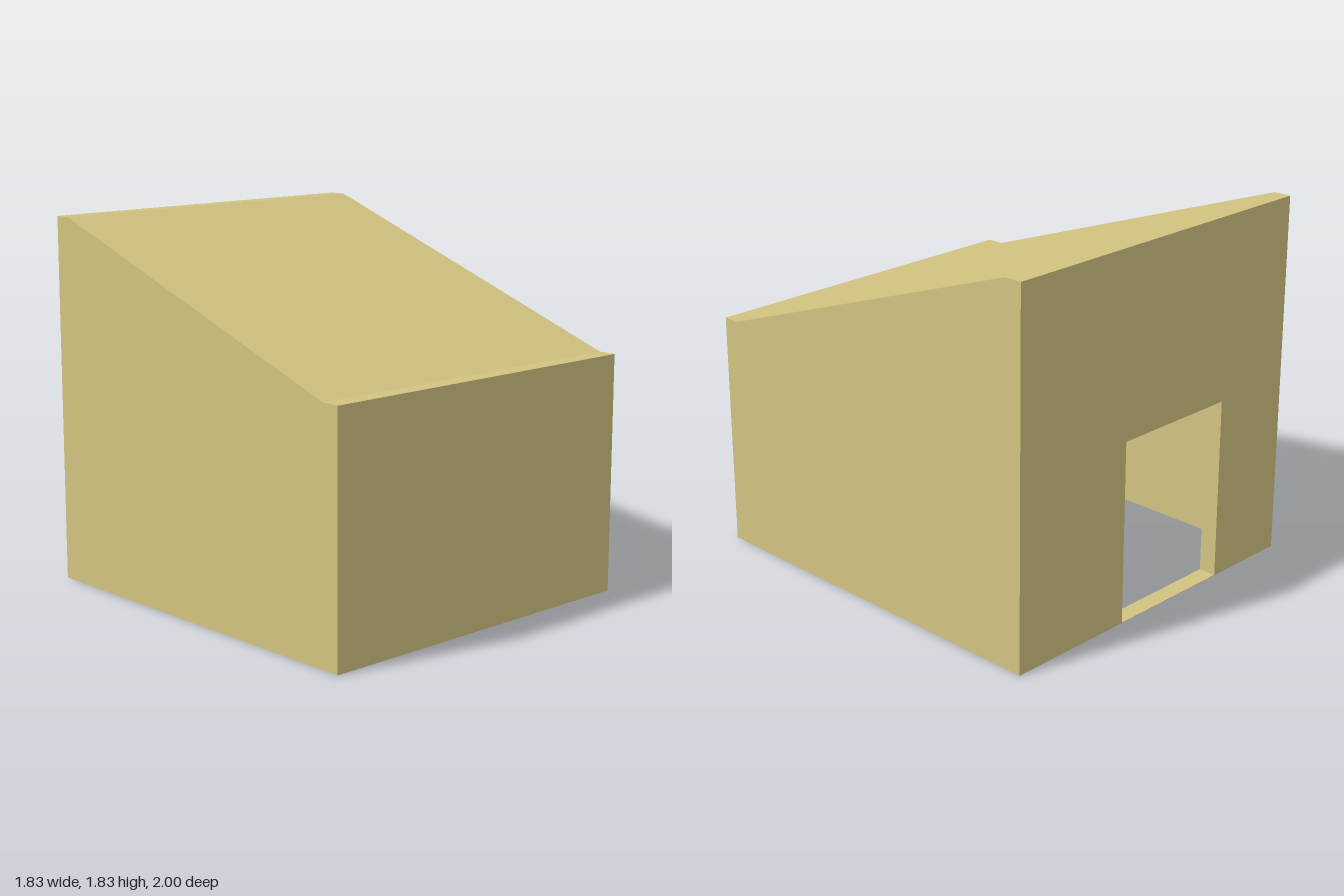
import * as THREE from 'three';

const W = 0.913;          // half width
const D = 1;              // half depth
const T = 0.09;           // wall thickness
const LOW = 1.187;        // front wall height
const HIGH = 1.83;        // back wall height
const DOOR = { x0: -0.457, x1: 0.228, h: 0.915 };

export function createModel() {
  const group = new THREE.Group();
  const material = new THREE.MeshStandardMaterial({ color: 0xd2c380, flatShading: true });

  const add = (name, geometry) => {
    const mesh = new THREE.Mesh(geometry, material);
    mesh.name = name;
    group.add(mesh);
  };
  const shapeOf = (pts) => new THREE.Shape(pts.map(([a, b]) => new THREE.Vector2(a, b)));

  // Extrudes a (z, y) profile along x from x0 to x1
  const alongX = (pts, x0, x1) =>
    new THREE.ExtrudeGeometry(shapeOf(pts), { depth: x1 - x0, bevelEnabled: false })
      .rotateY(-Math.PI / 2)
      .translate(x1, 0, 0);

  const zi = D - T;
  const xi = W - T;

  // Side walls with the sloping top and a short flat at each end
  const side = [[-D, 0], [D, 0], [D, LOW], [zi, LOW], [-zi, HIGH], [-D, HIGH]];
  add('leftWall', alongX(side, xi, W));
  add('rightWall', alongX(side, -W, -xi));

  // Front wall
  add('frontWall', alongX([[zi, 0], [D, 0], [D, LOW], [zi, LOW]], -xi, xi));

  // Sloping roof slab
  add('roof', alongX([[-zi, HIGH - T], [zi, LOW - T], [zi, LOW], [-zi, HIGH]], -xi, xi));

  // Back wall with an off-centre doorway
  const back = shapeOf([
    [-xi, 0], [DOOR.x0, 0], [DOOR.x0, DOOR.h], [DOOR.x1, DOOR.h],
    [DOOR.x1, 0], [xi, 0], [xi, HIGH], [-xi, HIGH],
  ]);
  add('backWall', new THREE.ExtrudeGeometry(back, { depth: T, bevelEnabled: false }).translate(0, 0, -D));

  // Thin door sill at ground level
  const sill = 0.002;
  add('doorSill', new THREE.BoxGeometry(DOOR.x1 - DOOR.x0, sill, T)
    .translate((DOOR.x0 + DOOR.x1) / 2, sill / 2, -D + T / 2));

  return group;
}
